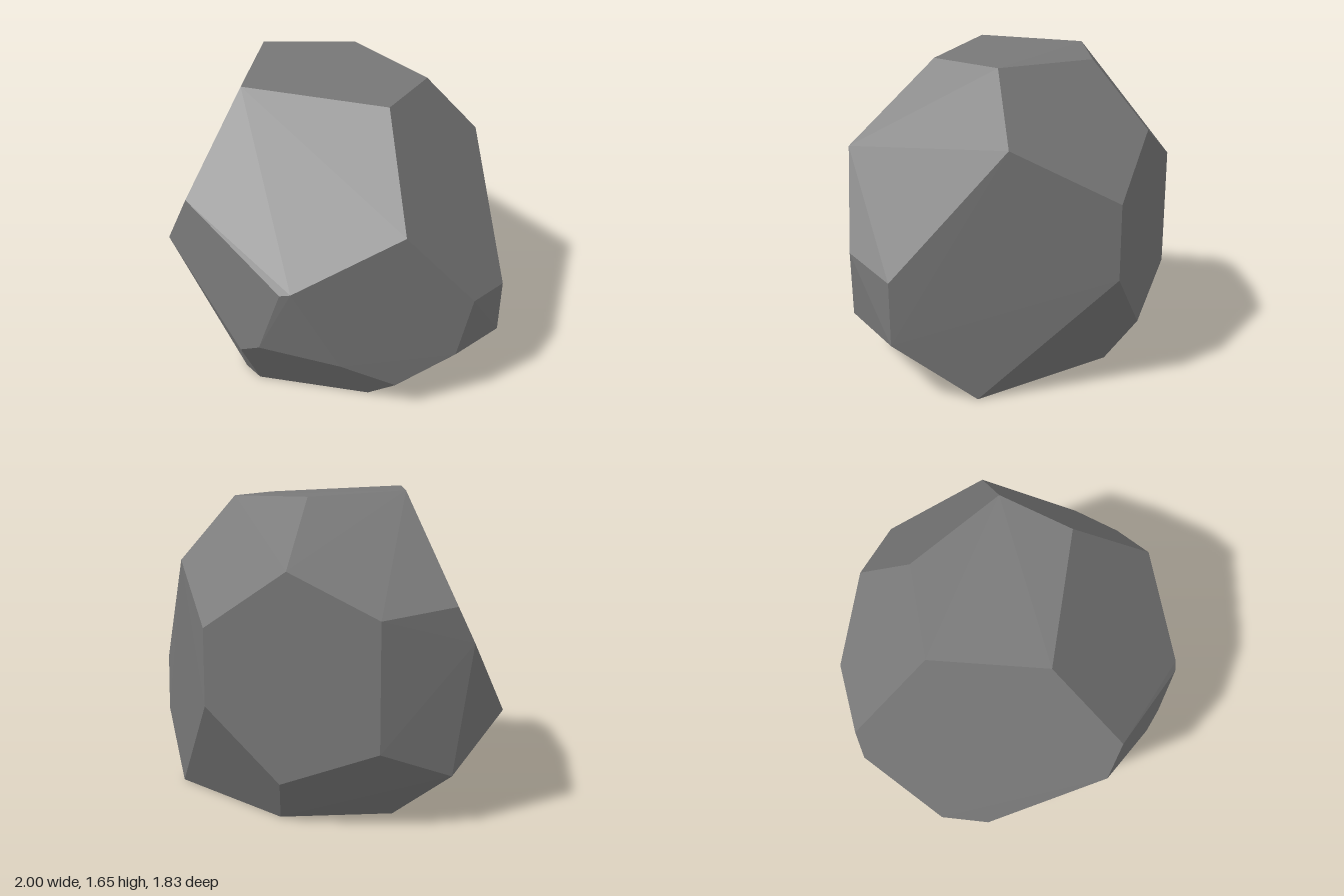
import * as THREE from 'three';
import { ConvexGeometry } from 'three/addons/geometries/ConvexGeometry.js';

// Corners of the cut stone, ring by ring from the crown down to the base
const crown = [
  [-0.15, 1.65, 0.44], [0.44, 1.615, 0], [0.32, 1.6, -0.39],
  [-0.25, 1.6, -0.42], [-0.53, 1.63, 0],
];
const shoulder = [
  [-0.06, 1.22, 0.87], [0.82, 1.165, 0.24], [0.45, 1.265, -0.66],
  [-0.385, 1.264, -0.705], [-0.77, 1.045, -0.475], [-0.955, 1.095, -0.13],
];
const waist = [
  [-0.18, 0.955, 0.915], [0.515, 0.92, 0.765], [0.555, 0.93, 0.73],
  [1, 0.715, -0.09], [0.95, 0.64, -0.385], [-0.03, 0.985, -0.915],
  [-1, 0.915, -0.05],
];
const lower = [
  [0.29, 0.475, 0.85], [0.405, 0.55, 0.82], [0.67, 0.415, 0.515],
  [0.81, 0.21, 0.25], [0.965, 0.365, -0.03], [0.95, 0.32, -0.39],
  [-0.03, 0.6, -0.915], [-0.35, 0.23, -0.726], [-0.77, 0.41, -0.475],
  [-0.94, 0.26, -0.13], [-0.895, 0.485, 0.39], [-0.73, 0.48, 0.59],
];
const base = [
  [0.12, 0, 0.62], [0, 0, 0.62], [-0.615, 0, -0.185],
  [-0.23, 0, -0.605], [0.58, 0, -0.58], [0.61, 0, 0.25],
];

export function createModel() {
  const group = new THREE.Group();
  group.name = 'rock';

  const stone = new THREE.MeshStandardMaterial({ color: 0x787878, flatShading: true });
  stone.name = 'stone grey';

  // Faceted boulder: convex skin over the corner rings
  const corners = [crown, shoulder, waist, lower, base].flat()
    .map((p) => new THREE.Vector3(...p));
  const boulder = new THREE.Mesh(new ConvexGeometry(corners), stone);
  boulder.name = 'boulder';
  group.add(boulder);

  return group;
}
